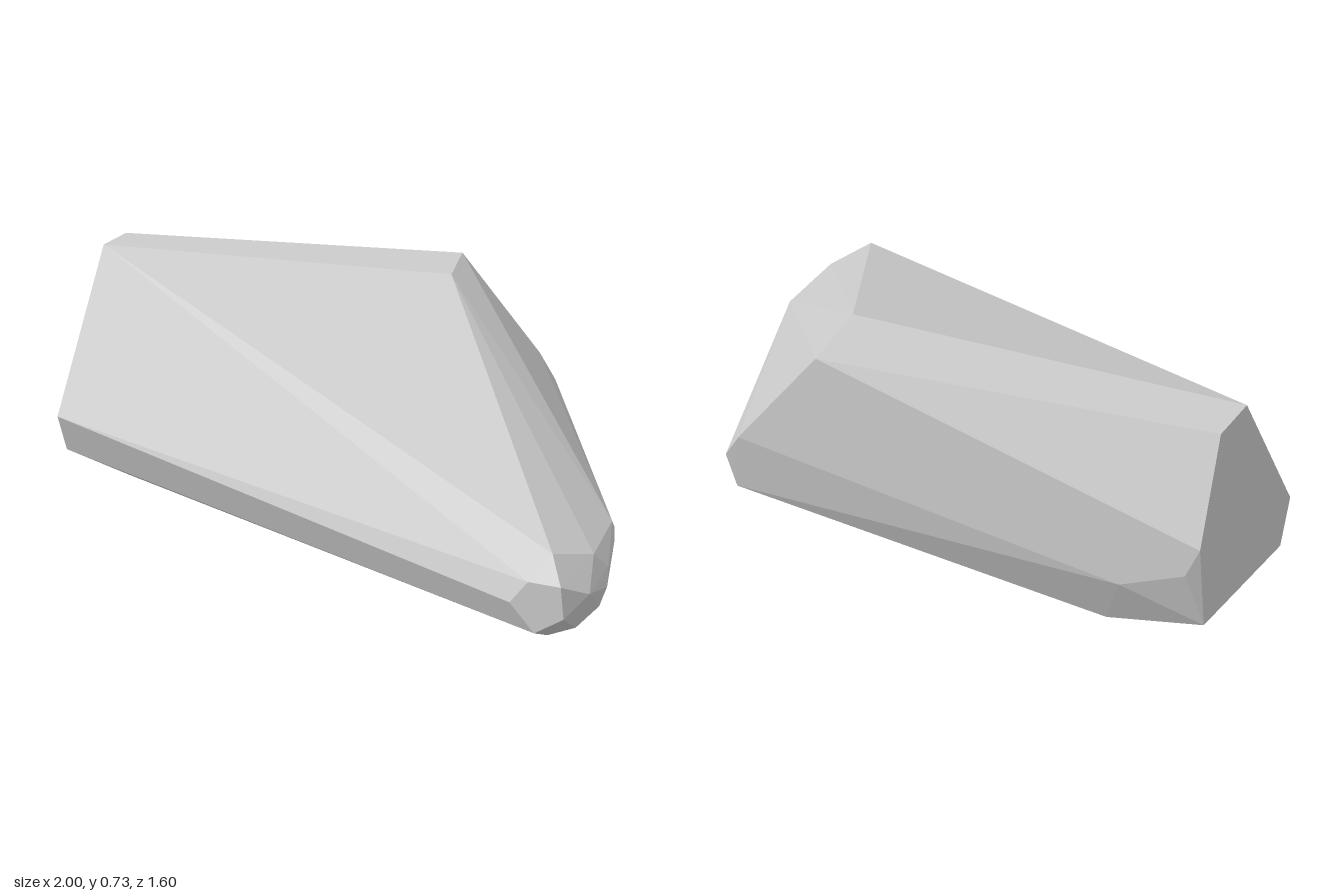
import * as THREE from 'three';
import { ConvexGeometry } from 'three/addons/geometries/ConvexGeometry.js';

// Faceted convex block: each group lists the corners of one region.
const cutEnd = [ // flat end at x = -1
  [-1, 0.725, -0.51], [-1, 0.725, -0.69], [-1, 0.43, -0.8],
  [-1, 0.17, -0.75], [-1, 0.11, -0.18], [-1, 0.24, -0.12],
];
const topAndBack = [
  [0.21, 0.725, -0.51], [0.16, 0.725, -0.8], [0.43, 0.41, -0.8],
  [-0.96, 0.34, -0.8], [-0.77, 0.26, -0.8],
  [0.49, 0.33, -0.78], [0.47, 0.22, -0.76],
];
const underside = [
  [-0.7, 0.09, -0.72], [-0.8, 0.02, -0.5], [-0.81, 0.02, -0.25],
  [-0.15, 0, -0.36], [0.65, 0.08, -0.15], [0.87, 0.07, 0.73], [0.9, 0.075, 0.5],
];
const flank = [
  [0.92, 0.2, 0.18], [0.94, 0.26, 0.3], [0.96, 0.22, 0.35],
  [0.89, 0.12, 0.12], [0.94, 0.1, 0.4],
];
const tip = [
  [0.78, 0.18, 0.8], [0.83, 0.245, 0.8], [0.92, 0.24, 0.8], [0.93, 0.15, 0.8],
  [0.85, 0.1, 0.8], [0.88, 0.31, 0.74], [0.96, 0.27, 0.6], [0.98, 0.2, 0.72],
  [1, 0.18, 0.6], [0.99, 0.22, 0.55], [0.98, 0.12, 0.6], [0.94, 0.09, 0.7],
];

export function createModel() {
  const group = new THREE.Group();
  group.name = 'facetedBlock';

  const stone = new THREE.MeshStandardMaterial({ color: 0xcccccc, flatShading: true });
  stone.name = 'light stone grey';

  const corners = [cutEnd, topAndBack, underside, flank, tip].flat()
    .map((p) => new THREE.Vector3(...p));
  const block = new THREE.Mesh(new ConvexGeometry(corners), stone);
  block.name = 'block';
  group.add(block);
  return group;
}
